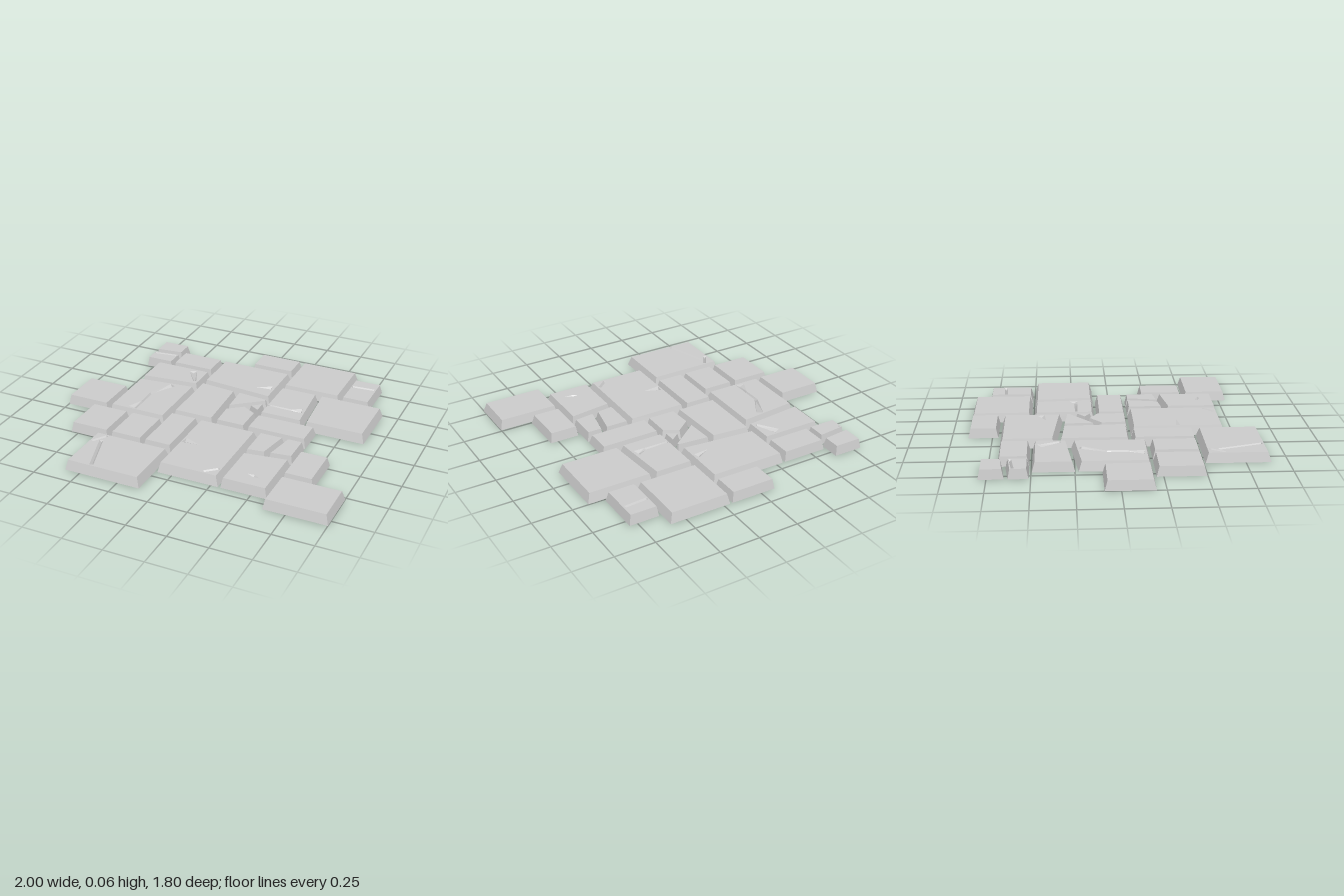
import * as THREE from 'three';

const PITCH = 0.1008; // paving grid cell
const JOINT = 0.008; // joint on each side of a slab
const BREAK = 0.01; // half the gap between broken pieces
const HEIGHT = 0.06;
const DEPTH = 0.014; // crack depth

// Paving layout in grid cells: name, x, z, width, depth
const BLOCKS = [
  ['backCornerSlab', -8, -8, 2, 3],
  ['backLeftSlab', -6, -7, 3, 2],
  ['backMiddleSlab', -1, -9, 3, 2],
  ['backLargeSlab', 2, -9, 4, 4],
  ['backRightSlab', 6, -8, 2, 3],
  ['centreBlock', -3, -7, 5, 8],
  ['leftBlock', -7, -5, 4, 7],
  ['rightBlock', 2, -5, 7, 4],
  ['narrowSlab', 2, -1, 4, 2],
  ['outerLeftSlab', -10, -1, 3, 3],
  ['frontLeftBlock', -8, 2, 5, 3],
  ['frontTallSlab', -3, 1, 2, 4],
  ['frontLargeSlab', -1, 1, 4, 6],
  ['brokenBlock', 3, 1, 3, 6],
  ['frontRightSlab', 6, 2, 2, 3],
  ['frontCornerSlab', 6, 5, 4, 3],
  ['frontEdgeSlab', -6, 5, 5, 4],
];

// Breaks: whole -> piece behind or left of the line, other piece, line x0 z0 x1 z1
const BREAKS = {
  backCornerSlab: ['cornerPieceBack', 'cornerPieceFront', -0.8, -0.64, -0.6, -0.66],
  centreBlock: ['wideSlab', 'centreFront', -0.3, -0.352, 0.19, -0.305],
  centreFront: ['centreSlab', 'shards', -0.01, 0.1, -0.03, -0.32],
  shards: ['shardBack', 'shardsFront', 0, -0.1, 0.185, -0.245],
  shardsFront: ['shardSmall', 'shardFront', 0.1, -0.165, 0.185, -0.115],
  leftBlock: ['leftSlabBack', 'leftSlabFront', -0.71, -0.237, -0.32, -0.277],
  rightBlock: ['middleRightSlab', 'outerRightSlab', 0.502, -0.12, 0.47, -0.5],
  frontLeftBlock: ['frontLeftSlab', 'frontSmallSlab', -0.532, 0.5, -0.532, 0.2],
  brokenBlock: ['brokenBack', 'brokenSlabFront', 0.305, 0.355, 0.6, 0.315],
  brokenBack: ['brokenSlabLeft', 'brokenSlabRight', 0.442, 0.32, 0.482, 0.11],
};

// Cracks in the top faces: paths of [x, z, half width]
const CRACKS = {
  cornerPieceFront: [[[-0.785, -0.602, 0.008], [-0.635, -0.622, 0.008]]],
  backRightSlab: [[[0.627, -0.69, 0.01], [0.772, -0.7, 0.01]]],
  wideSlab: [[[0.155, -0.45, 0.022], [0.06, -0.42, 0]]],
  leftSlabBack: [[[-0.42, -0.455, 0.025], [-0.35, -0.33, 0.01]]],
  leftSlabFront: [[[-0.455, -0.215, 0.022], [-0.53, -0.06, 0.01],
    [-0.53, 0.06, 0.008], [-0.55, 0.16, 0.03]]],
  middleRightSlab: [[[0.225, -0.225, 0.008], [0.38, -0.225, 0.01], [0.445, -0.24, 0.028]]],
  frontLargeSlab: [[[0.26, 0.6, 0.01], [0.19, 0.662, 0.01]], [[-0.07, 0.39, 0.028], [0.04, 0.405, 0]]],
  brokenSlabFront: [[[0.43, 0.58, 0], [0.47, 0.588, 0.012], [0.515, 0.6, 0]]],
  frontEdgeSlab: [[[-0.515, 0.545, 0.01], [-0.57, 0.63, 0.01]],
    [[-0.522, 0.6, 0.012], [-0.435, 0.868, 0.012]]],
};

const vec = (x, z) => new THREE.Vector2(x, z);

// Rectangular outline of a block of grid cells
function blockOutline(x, z, w, d) {
  const x0 = x * PITCH + JOINT, x1 = (x + w) * PITCH - JOINT;
  const z0 = z * PITCH + JOINT, z1 = (z + d) * PITCH - JOINT;
  return [vec(x0, z0), vec(x1, z0), vec(x1, z1), vec(x0, z1)];
}

// Keep the part of an outline on one side of a line, leaving half the gap
function clip(outline, a, b, side) {
  const dir = b.clone().sub(a).normalize();
  const dist = (p) => side * dir.cross(p.clone().sub(a)) - BREAK;
  return outline.flatMap((p, i) => {
    const q = outline[(i + 1) % outline.length];
    const dp = dist(p), dq = dist(q);
    const kept = dp >= 0 ? [p] : [];
    if (dp * dq < 0) kept.push(p.clone().lerp(q, dp / (dp - dq)));
    return kept;
  });
}

// Shrink a convex outline; left-facing edges slope less than the others
function insetOutline(pts) {
  const n = pts.length;
  const inset = 0.008 + 0.027 * Math.sqrt(THREE.ShapeUtils.area(pts));
  const lines = pts.map((p, i) => {
    const dir = pts[(i + 1) % n].clone().sub(p).normalize();
    const normal = vec(-dir.y, dir.x); // points inwards
    return { normal, c: normal.dot(p) + (normal.x > 0.7 ? inset * 0.6 : inset) };
  });
  return lines.map((b, i) => {
    const a = lines[(i + n - 1) % n];
    const det = a.normal.cross(b.normal);
    return vec((a.c * b.normal.y - b.c * a.normal.y) / det, (a.normal.x * b.c - b.normal.x * a.c) / det);
  });
}

// V-shaped crack: two rims on the top face and a sunken spine
function crackRows(path) {
  const last = path.length - 1;
  const mids = path.map(([x, z]) => vec(x, z));
  return path.map(([, , w], i) => {
    const dir = mids[Math.min(i + 1, last)].clone().sub(mids[Math.max(i - 1, 0)]).normalize();
    const side = vec(-dir.y, dir.x).multiplyScalar(w);
    const spine = mids[i].clone();
    if (w > 0 && i === 0) spine.addScaledVector(dir, 0.006);
    if (w > 0 && i === last) spine.addScaledVector(dir, -0.006);
    return { w, left: mids[i].clone().add(side), right: mids[i].clone().sub(side), spine };
  });
}

function slabGeometry(base, cracks = []) {
  const pos = [];
  const at = (p, y) => new THREE.Vector3(p.x, y, p.y);
  // every triangle is turned to face upwards, or downwards for the underside
  const tri = (a, b, c, facing = 1) => {
    const ny = b.clone().sub(a).cross(c.clone().sub(a)).y;
    for (const v of ny * facing >= 0 ? [a, b, c] : [a, c, b]) pos.push(v.x, v.y, v.z);
  };
  const quad = (a, b, c, d) => { tri(a, b, c); tri(a, c, d); };

  // sloping sides and flat underside
  const top = insetOutline(base);
  base.forEach((p, i) => {
    const j = (i + 1) % base.length;
    quad(at(p, 0), at(top[i], HEIGHT), at(top[j], HEIGHT), at(base[j], 0));
    if (i > 0 && j > 0) tri(at(base[0], 0), at(p, 0), at(base[j], 0), -1);
  });

  // top face with the cracks cut out
  const rows = cracks.map(crackRows);
  const holes = rows.map((r) => [
    ...r.map((k) => k.left),
    ...r.filter((k) => k.w > 0).map((k) => k.right).reverse(),
  ]);
  const all = [...top, ...holes.flat()];
  for (const f of THREE.ShapeUtils.triangulateShape(top, holes)) {
    tri(...f.map((i) => at(all[i], HEIGHT)));
  }

  // crack walls and end caps
  for (const r of rows) {
    const L = r.map((k) => at(k.left, HEIGHT));
    const R = r.map((k) => at(k.right, HEIGHT));
    const S = r.map((k) => at(k.spine, k.w > 0 ? HEIGHT - DEPTH : HEIGHT));
    for (let i = 0; i + 1 < r.length; i++) {
      quad(L[i], L[i + 1], S[i + 1], S[i]);
      quad(R[i], R[i + 1], S[i + 1], S[i]);
    }
    for (const e of [0, r.length - 1]) if (r[e].w > 0) tri(L[e], R[e], S[e]);
  }

  const geo = new THREE.BufferGeometry();
  geo.setAttribute('position', new THREE.Float32BufferAttribute(pos, 3));
  geo.computeVertexNormals();
  return geo;
}

export function createModel() {
  const group = new THREE.Group();
  group.name = 'stonePaving';
  const stone = new THREE.MeshStandardMaterial({ color: 0xcccccc, flatShading: true });

  // add a slab, or break it and add its pieces
  const addSlab = (name, outline) => {
    if (BREAKS[name]) {
      const [first, second, x0, z0, x1, z1] = BREAKS[name];
      addSlab(first, clip(outline, vec(x0, z0), vec(x1, z1), -1));
      addSlab(second, clip(outline, vec(x0, z0), vec(x1, z1), 1));
      return;
    }
    const mesh = new THREE.Mesh(slabGeometry(outline, CRACKS[name]), stone);
    mesh.name = name;
    group.add(mesh);
  };
  for (const [name, ...cells] of BLOCKS) addSlab(name, blockOutline(...cells));
  return group;
}
